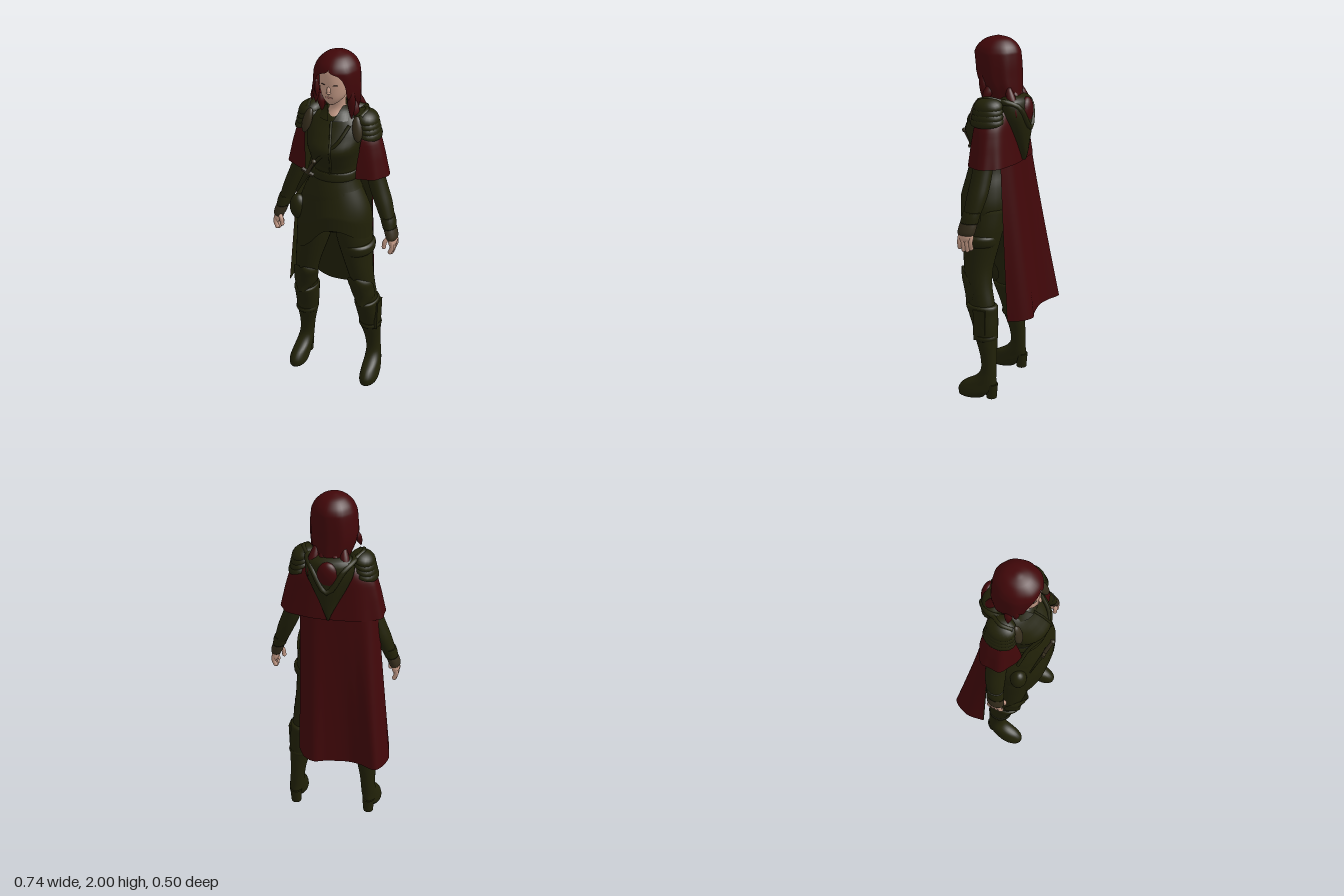
import * as THREE from 'three';
import { mergeVertices } from 'three/addons/utils/BufferGeometryUtils.js';
import { ParametricGeometry } from 'three/addons/geometries/ParametricGeometry.js';

const paint = (name, color, side = THREE.FrontSide) => {
  const m = new THREE.MeshStandardMaterial({ color, side });
  m.name = name;
  return m;
};

// Smooth skin through horizontal ellipses, listed top down: [x, y, z, rx, rz, gap].
// gap is half the angle left open at the front; turn moves the opening; square < 1 makes ovals boxier.
function loft(rings, { n = 28, steps = 4, turn = 0, ripple = 0, square = 1 } = {}) {
  const rows = [], pos = [], idx = [];
  const last = rings.length - 1;
  const bend = (v) => Math.sign(v) * Math.abs(v) ** square;
  for (let s = 0; s <= last * steps; s++) {
    const i = Math.min(Math.floor(s / steps), last - 1), t = s / steps - i;
    const at = (j, k) => rings[Math.max(0, Math.min(last, j))][k] ?? 0;
    rows.push([0, 1, 2, 3, 4, 5].map((k) => {
      const [a, b, c, d] = [at(i - 1, k), at(i, k), at(i + 1, k), at(i + 2, k)];
      const v = b + 0.5 * t * (c - a + t * (2 * a - 5 * b + 4 * c - d + t * (3 * (b - c) + d - a)));
      return k > 2 ? Math.max(0, v) : v;
    }));
  }
  rows.forEach(([x, y, z, rx, rz, gap], r) => {
    for (let j = 0; j <= n; j++) {
      const a = turn + gap + (2 * Math.PI - 2 * gap) * (j / n);
      const w = 1 + ripple * (r / rows.length) * Math.sin(a * 9);
      pos.push(x + rx * w * bend(Math.sin(a)), y, z + rz * w * bend(Math.cos(a)));
      if (r && j) {
        const p = r * (n + 1) + j, q = p - n - 1;
        idx.push(q - 1, p - 1, q, q, p - 1, p);
      }
    }
  });
  [0, rows.length - 1].forEach((r, end) => {
    if (rows[r][5] > 0) return;
    const c = pos.length / 3;
    pos.push(rows[r][0], rows[r][1], rows[r][2]);
    for (let j = 0; j < n; j++) {
      const p = r * (n + 1) + j;
      idx.push(c, ...(end ? [p + 1, p] : [p, p + 1]));
    }
  });
  const g = new THREE.BufferGeometry();
  g.setAttribute('position', new THREE.Float32BufferAttribute(pos, 3));
  g.setIndex(idx);
  const m = mergeVertices(g, 1e-5);
  m.computeVertexNormals();
  return m;
}

export function createModel() {
  const model = new THREE.Group();
  model.name = 'cloakedRanger';
  const green = paint('olive cloth', 0x212108, THREE.DoubleSide);
  const red = paint('dark red', 0x410709, THREE.DoubleSide);
  const skin = paint('skin', 0xc49a86), leather = paint('leather', 0x352d1c);
  const dark = paint('dark eyes', 0x2a1d18), lipColor = paint('lips', 0xa87468);

  const add = (parent, name, geo, mat, p = [0, 0, 0], s = [1, 1, 1], r = [0, 0, 0]) => {
    const m = new THREE.Mesh(geo, mat);
    m.name = name;
    m.position.set(...p); m.scale.set(...s); m.rotation.set(...r);
    parent.add(m);
    return m;
  };
  const ball = new THREE.SphereGeometry(1, 20, 14);
  const tube = (pts, r) => new THREE.TubeGeometry(
    new THREE.CatmullRomCurve3(pts.map((p) => new THREE.Vector3(...p))), 24, r, 8);

  // Head and face
  add(model, 'head', loft([[0, 1.97, 0.03, 0.04, 0.05], [0, 1.93, 0.03, 0.078, 0.088], [0, 1.88, 0.038, 0.083, 0.09],
    [0, 1.83, 0.043, 0.08, 0.086], [0, 1.785, 0.055, 0.066, 0.072], [0, 1.755, 0.073, 0.042, 0.046], [0, 1.737, 0.085, 0.018, 0.022]]), skin);
  add(model, 'nose', ball, skin, [0, 1.825, 0.125], [0.011, 0.023, 0.014], [-0.3, 0, 0]);
  add(model, 'noseTip', ball, skin, [0, 1.812, 0.129], [0.012, 0.009, 0.012]);
  add(model, 'lips', ball, lipColor, [0, 1.783, 0.124], [0.02, 0.006, 0.005]);
  for (const s of [-1, 1]) {
    add(model, 'eye', ball, dark, [s * 0.034, 1.852, 0.1205], [0.014, 0.003, 0.003], [0, s * 0.4, 0]);
  }
  add(model, 'neck', loft([[0, 1.77, 0.02, 0.048, 0.05], [0, 1.7, 0.01, 0.043, 0.046], [0, 1.65, 0.02, 0.055, 0.065], [0, 1.62, 0.02, 0.05, 0.06]]), skin);

  // Hair: open-front shell and loose locks
  add(model, 'hair', loft([[0, 2, 0.01, 0.012, 0.012], [0, 1.985, 0.01, 0.06, 0.065], [0, 1.955, 0.012, 0.095, 0.104],
    [0, 1.925, 0.013, 0.112, 0.122, 0.05], [-0.001, 1.9, 0.013, 0.119, 0.126, 0.5], [-0.002, 1.85, 0.01, 0.124, 0.126, 0.72],
    [-0.004, 1.79, 0.005, 0.126, 0.122, 0.78], [-0.003, 1.74, -0.01, 0.118, 0.108, 0.9],
    [0, 1.69, -0.025, 0.1, 0.095, 1.05], [0, 1.645, -0.04, 0.085, 0.09, 1.3]], { n: 40, ripple: 0.03 }), red);
  const lock = (x, y, z, dx, dz, len, w) => add(model, 'hairLock', loft([[x, y, z, w * 0.5, w * 0.5],
    [x + dx * 0.3, y - len * 0.35, z + dz * 0.3, w, w], [x + dx * 0.7, y - len * 0.7, z + dz * 0.7, w * 0.7, w * 0.7],
    [x + dx, y - len, z + dz, 0.002, 0.002]], { n: 10 }), red);
  lock(0.095, 1.82, 0.06, 0.0, -0.01, 0.17, 0.022);
  lock(0.085, 1.76, 0.02, 0.04, 0.02, 0.12, 0.026);
  lock(-0.105, 1.84, 0.055, 0.0, 0.0, 0.13, 0.02);
  lock(-0.11, 1.8, 0.02, -0.03, 0.01, 0.09, 0.022);
  lock(-0.085, 1.76, 0.04, 0.01, 0.0, 0.1, 0.02);
  for (const x of [-0.07, -0.025, 0.03, 0.075]) lock(x, 1.74, -0.08, x * 0.4, -0.06, 0.15, 0.026);

  // Torso, collar and hips
  add(model, 'torso', loft([[0, 1.675, 0, 0.07, 0.055], [0, 1.655, 0.01, 0.11, 0.075], [0, 1.61, 0.022, 0.15, 0.095],
    [0, 1.56, 0.035, 0.155, 0.12], [0, 1.5, 0.055, 0.147, 0.138], [0, 1.44, 0.053, 0.134, 0.122], [0, 1.36, 0.045, 0.124, 0.108],
    [0, 1.28, 0.052, 0.142, 0.122], [0, 1.2, 0.052, 0.175, 0.138], [0, 1.1, 0.045, 0.2, 0.14], [0, 1.03, 0.045, 0.19, 0.13], [0, 0.99, 0.045, 0.1, 0.09]]), green);
  add(model, 'collar', loft([[0, 1.715, -0.005, 0.066, 0.07, 0.75], [0, 1.685, 0.005, 0.073, 0.075, 0.45], [0, 1.645, 0.02, 0.1, 0.092, 0.12]]), green);
  add(model, 'coatSeam', tube([[0, 1.64, 0.1], [0.02, 1.56, 0.157], [0.03, 1.49, 0.19], [0.025, 1.42, 0.165], [0.015, 1.36, 0.153]], 0.006), green);
  add(model, 'belt', loft([[0, 1.365, 0.046, 0.127, 0.112], [0, 1.355, 0.046, 0.133, 0.117], [0, 1.325, 0.047, 0.137, 0.12], [0, 1.315, 0.047, 0.13, 0.114]]), green);

  // Tunic skirt with an uneven hem, longest at the right thigh
  const hem = new THREE.CatmullRomCurve3([0.98, 0.92, 0.87, 0.93, 1.03, 1.04, 1.0, 0.98, 0.99]
    .map((y, i) => new THREE.Vector3(i, y, 0)));
  add(model, 'tunicSkirt', new ParametricGeometry((u, v, p) => {
    const a = -1.75 + 3.5 * u, y = THREE.MathUtils.lerp(1.26, hem.getPoint(u).y, v);
    const w = 0.152 + 0.064 * Math.sin(Math.min(1, v * 1.4) * Math.PI / 2);
    p.set(w * Math.sin(a), y, 0.052 + (0.125 + 0.033 * Math.min(1, v * 1.7)) * Math.cos(a));
  }, 40, 12), green);
  add(model, 'hipPouch', ball, green, [-0.19, 1.1, 0.115], [0.048, 0.075, 0.045]);

  // Slanted strap and sheathed dagger
  add(model, 'chestStrap', tube([[0.1, 1.63, 0.09], [0.06, 1.55, 0.158], [-0.03, 1.46, 0.178], [-0.1, 1.37, 0.13], [-0.17, 1.25, 0.1]], 0.01), green);
  const dagger = new THREE.Group();
  dagger.name = 'dagger';
  dagger.position.set(-0.085, 1.38, 0.212);
  dagger.rotation.set(0.25, 0, -0.5);
  model.add(dagger);
  add(dagger, 'grip', new THREE.CylinderGeometry(0.009, 0.011, 0.09, 10), leather, [0, 0.045, 0]);
  add(dagger, 'pommel', ball, leather, [0, 0.095, 0], [0.014, 0.012, 0.014]);
  add(dagger, 'crossguard', new THREE.BoxGeometry(0.07, 0.014, 0.018), leather);
  add(dagger, 'sheath', new THREE.CylinderGeometry(0.017, 0.008, 0.17, 10), green, [0, -0.09, 0], [1, 1, 0.6]);

  // Paired parts, built on the left and mirrored to the right
  for (const s of [1, -1]) {
    const half = new THREE.Group();
    half.name = s > 0 ? 'leftLimbs' : 'rightLimbs';
    half.scale.x = s;
    model.add(half);

    // Arm, glove and hand
    add(half, 'sleeve', loft([[0.14, 1.64, 0, 0.04, 0.05], [0.165, 1.58, 0, 0.05, 0.06], [0.192, 1.48, 0, 0.046, 0.056],
      [0.21, 1.36, 0.003, 0.046, 0.054], [0.235, 1.27, 0.008, 0.05, 0.056], [0.27, 1.18, 0.017, 0.047, 0.056], [0.307, 1.08, 0.034, 0.036, 0.046]]), green);
    add(half, 'cuff', loft([[0.3, 1.11, 0.03, 0.04, 0.049], [0.308, 1.085, 0.035, 0.04, 0.05], [0.318, 1.05, 0.041, 0.036, 0.05]]), green);
    add(half, 'glove', loft([[0.318, 1.055, 0.041, 0.034, 0.048], [0.327, 1.03, 0.045, 0.034, 0.05], [0.336, 1.0, 0.05, 0.032, 0.049], [0.337, 0.985, 0.05, 0.024, 0.042]]), leather);
    add(half, 'palm', loft([[0.337, 1.0, 0.05, 0.024, 0.043], [0.342, 0.97, 0.05, 0.023, 0.044], [0.343, 0.945, 0.05, 0.012, 0.038]]), skin);
    for (let i = 0; i < 4; i++) {
      const z = 0.016 + i * 0.022, drop = i % 3 ? 0.012 : 0;
      add(half, 'finger', tube([[0.346, 0.98, z], [0.351, 0.95, z + 0.002], [0.34, 0.918 - drop, z + 0.004]], 0.012), skin);
      add(half, 'fingertip', ball, skin, [0.34, 0.918 - drop, z + 0.004], [0.012, 0.014, 0.012]);
    }
    add(half, 'thumb', tube([[0.325, 1.0, 0.08], [0.31, 0.975, 0.09], [0.306, 0.945, 0.09]], 0.012), skin);
    add(half, 'thumbTip', ball, skin, [0.306, 0.945, 0.09], [0.012, 0.014, 0.012]);

    // Layered shoulder armour
    for (let i = 0; i < 4; i++) {
      add(half, 'shoulderPlate', new THREE.SphereGeometry(1, 20, 8, 0, Math.PI * 2, 0, 1.6), green,
        [0.157 + i * 0.006, 1.645 - i * 0.026, 0.0], [0.068, 0.05, 0.08 + i * 0.004], [0, 0, -0.3]);
    }
    add(half, 'shoulderRim', tube([[0.13, 1.675, -0.06], [0.16, 1.69, 0], [0.15, 1.675, 0.06]], 0.012), green);
    add(half, 'shoulderStrap', ball, leather, [0.142, 1.615, 0.085], [0.027, 0.068, 0.02], [-0.35, 0.3, 0.2]);

    // Trouser leg and knee guard
    add(half, 'trouserLeg', loft([[0.1, 1.08, 0.045, 0.095, 0.12], [0.117, 0.97, 0.05, 0.1, 0.115], [0.136, 0.86, 0.056, 0.086, 0.1],
      [0.158, 0.75, 0.06, 0.071, 0.083], [0.175, 0.65, 0.05, 0.063, 0.074], [0.186, 0.54, 0.028, 0.06, 0.073], [0.19, 0.48, 0.02, 0.055, 0.065]]), green);
    add(half, 'kneeGuard', loft([[0.16, 0.735, 0.075, 0.03, 0.09, 2.6], [0.165, 0.69, 0.066, 0.072, 0.088, 1.8], [0.172, 0.64, 0.056, 0.07, 0.084, 1.6],
      [0.18, 0.585, 0.04, 0.068, 0.086, 1.8], [0.185, 0.535, 0.036, 0.04, 0.09, 2.6]], { turn: Math.PI }), green);

    // Boot with a block heel
    add(half, 'boot', loft([[0.188, 0.545, 0.03, 0.06, 0.075], [0.188, 0.535, 0.028, 0.069, 0.092], [0.19, 0.49, 0.018, 0.068, 0.084], [0.195, 0.42, 0.004, 0.066, 0.072],
      [0.2, 0.34, -0.006, 0.059, 0.061], [0.208, 0.25, -0.02, 0.046, 0.047], [0.214, 0.17, -0.024, 0.042, 0.044], [0.218, 0.12, -0.008, 0.045, 0.06],
      [0.222, 0.08, 0.025, 0.048, 0.095], [0.225, 0.045, 0.05, 0.052, 0.102], [0.226, 0.02, 0.068, 0.053, 0.088], [0.226, 0, 0.078, 0.047, 0.076]]), green);
    add(half, 'bootHeel', new THREE.CylinderGeometry(0.036, 0.029, 0.085, 16), green, [0.22, 0.0425, -0.043]);
    add(half, 'bootStrap', loft([[0.2, 0.375, 0, 0.062, 0.066], [0.2, 0.36, 0, 0.066, 0.07], [0.2, 0.345, 0, 0.06, 0.063]]), green);
  }
  add(model, 'thighBand', loft([[0.14, 0.94, 0.06, 0.084, 0.098], [0.143, 0.925, 0.06, 0.095, 0.108], [0.143, 0.89, 0.06, 0.093, 0.106], [0.143, 0.875, 0.06, 0.08, 0.094]]), green);
  add(model, 'bootSidePlate', new THREE.BoxGeometry(0.016, 0.18, 0.07), green, [0.252, 0.44, 0.015], [1, 1, 1], [0, 0, -0.03]);

  // Short cape over the arms, open at the front
  add(model, 'shoulderCape', loft([[0, 1.63, -0.015, 0.14, 0.08, 1.2], [0, 1.56, -0.008, 0.222, 0.1, 0.72], [0, 1.48, -0.006, 0.252, 0.11, 0.56],
    [0, 1.4, -0.006, 0.27, 0.119, 0.47], [0, 1.335, -0.007, 0.284, 0.126, 0.43]], { n: 80, ripple: 0.02, square: 0.78 }), red);

  // Long cloak: red outside, olive lining just inside
  const curve = (pts) => new THREE.CatmullRomCurve3(pts.map(([x, z]) => new THREE.Vector3(x, 0, z)));
  const top = curve([[-0.24, -0.03], [-0.205, -0.075], [-0.1, -0.105], [0, -0.11], [0.1, -0.105], [0.165, -0.07]]);
  const bottom = curve([[-0.335, -0.045], [-0.345, -0.15], [-0.29, -0.248], [-0.2, -0.212], [-0.13, -0.195], [0, -0.21], [0.07, -0.228], [0.13, -0.195], [0.175, -0.12]]);
  const cloak = (inset) => new ParametricGeometry((u, v, p) => {
    p.lerpVectors(top.getPoint(u), bottom.getPoint(u), v ** 1.1);
    p.x -= inset * Math.sign(p.x) * Math.min(1, Math.abs(p.x) * 5);
    p.y = 1.5 - v * (1.045 - 0.025 * (1 - u) ** 3);
    p.z += inset;
  }, 60, 24);
  add(model, 'cloakOuter', cloak(0), red);
  add(model, 'cloakLining', cloak(0.004), green);

  // Lowered hood hanging to a point on the back
  add(model, 'hood', loft([[0, 1.695, -0.07, 0.085, 0.05], [0, 1.67, -0.085, 0.125, 0.075], [0, 1.6, -0.095, 0.128, 0.08],
    [0, 1.53, -0.1, 0.1, 0.077], [0, 1.45, -0.11, 0.058, 0.06], [0, 1.38, -0.13, 0.022, 0.032], [0, 1.34, -0.14, 0.006, 0.01]], { ripple: 0.03 }), green);
  add(model, 'hoodFold', tube([[0.1, 1.66, 0.01], [0.125, 1.67, -0.07], [0.085, 1.64, -0.142], [0, 1.52, -0.174], [-0.085, 1.64, -0.142], [-0.125, 1.67, -0.07], [-0.1, 1.66, 0.01]], 0.016), green);
  add(model, 'hoodInside', ball, red, [0, 1.605, -0.148], [0.06, 0.08, 0.038], [-0.1, 0, 0]);
  return model;
}
